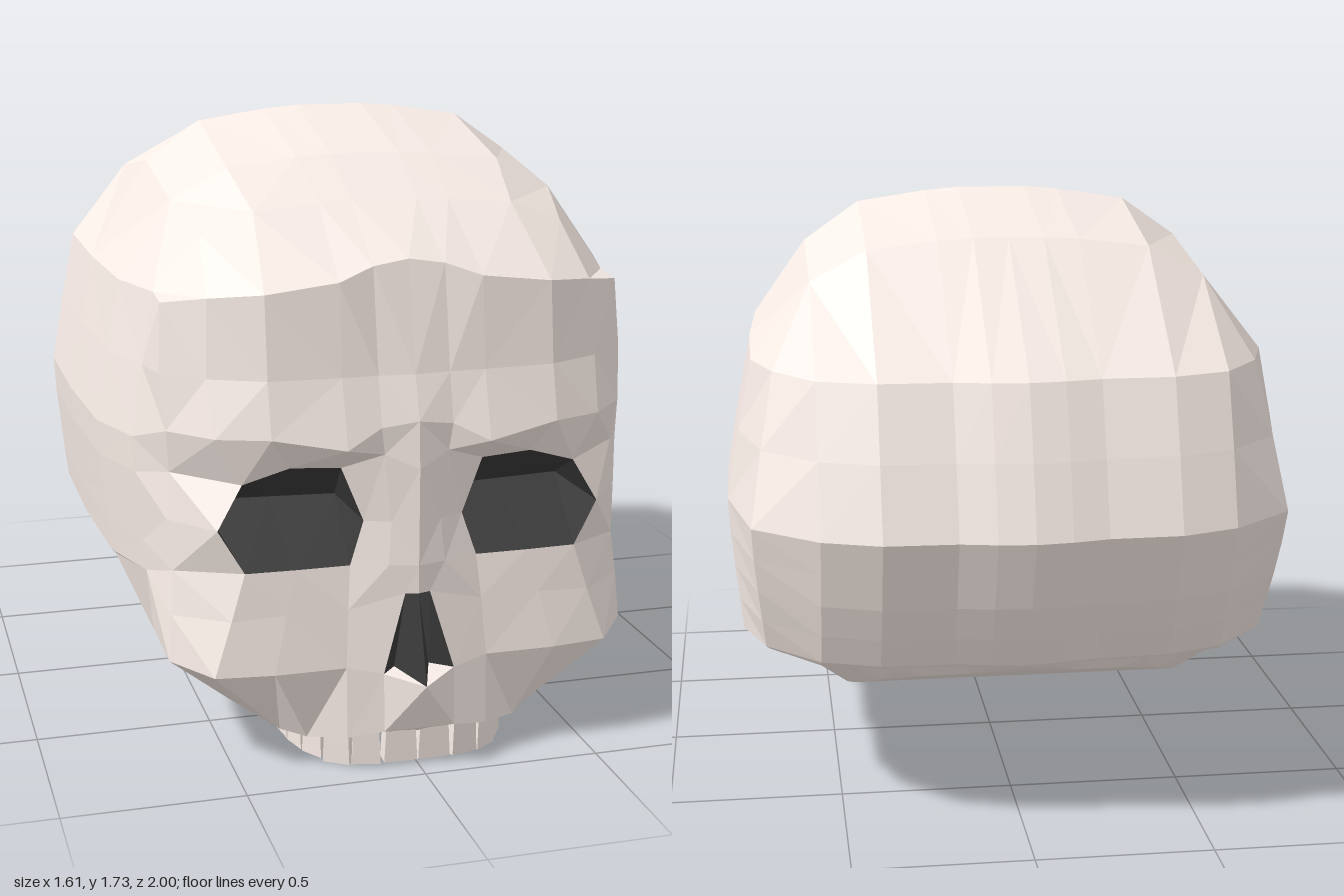
import * as THREE from 'three';

const BONE = 0xf8ece6, DARK = 0x3a3a3a;

// Half of the face, centre line to temple, [x, y, z] per point, rows going down
const FOREHEAD = [
  [[0, 1.4, 0.8], [0.1, 1.385, 0.805], [0.2, 1.35, 0.83], [0.4, 1.325, 0.82], [0.54, 1.31, 0.75], [0.65, 1.29, 0.67]],
  [[0, 1.1, 0.87], [0.1, 1.1, 0.86], [0.2, 1.1, 0.86], [0.4, 1.1, 0.85], [0.55, 1.1, 0.78], [0.66, 1.1, 0.69]],
  [[0, 0.98, 0.91], [0.1, 0.965, 0.895], [0.2, 0.915, 0.92], [0.4, 0.95, 0.89], [0.54, 0.95, 0.84], [0.65, 0.95, 0.72]],
];
const FACE = [
  [[0, 0.85, 0.92], [0.09, 0.89, 0.89], [0.2, 0.85, 0.85], [0.34, 0.86, 0.85], [0.47, 0.82, 0.84], [0.64, 0.83, 0.7]],
  [[0, 0.7, 0.92], [0.07, 0.7, 0.89], [0.14, 0.7, 0.86], [0.34, 0.7, 0.58], [0.54, 0.7, 0.85], [0.65, 0.7, 0.71]],
  [[0, 0.58, 0.92], [0.08, 0.58, 0.9], [0.18, 0.58, 0.87], [0.33, 0.58, 0.87], [0.47, 0.58, 0.865], [0.64, 0.56, 0.73]],
  [[0, 0.5, 0.92], [0.035, 0.5, 0.91], [0.19, 0.46, 0.89], [0.36, 0.46, 0.885], [0.51, 0.45, 0.875], [0.65, 0.44, 0.75]],
  [[0, 0.26, 1], [0.1, 0.28, 0.93], [0.2, 0.3, 0.91], [0.4, 0.3, 0.91], [0.56, 0.3, 0.89], [0.66, 0.31, 0.76]],
  [[0, 0.12, 0.95], [0.1, 0.115, 0.94], [0.2, 0.1, 0.92], [0.3, 0.09, 0.86], [0.36, 0.09, 0.79], [0.48, 0.15, 0.69]],
];

// Side and back of each row: height, half width and rearmost z
const SIDE_Y = [1.3, 1.1, 0.9, 0.8, 0.7, 0.6, 0.51, 0.5];
const SIDE_X = [0.73, 0.77, 0.805, 0.8, 0.79, 0.78, 0.77, 0.76];
const BACK_Z = [-0.85, -0.93, -1, -0.965, -0.93, -0.885, -0.84, -0.83];
const BACK_COLUMNS = [[0.56, 0.09], [0.4, 0.035], [0.2, 0.03], [0.1, 0.01], [0, 0]];

function sideAndBack(r) {
  const x = SIDE_X[r], y = SIDE_Y[r], z = BACK_Z[r];
  const cheekEnd = r === 7 ? [0.655, 0.3, 0.48] : [x * 0.89, y, 0.57];
  return [
    cheekEnd, [x * 0.975, y, 0.37], [x, y, -0.02], [x, y, -0.43], [x * 0.92, y, z + 0.24],
    ...BACK_COLUMNS.map(([bx, dz]) => [bx, y, z + dz]),
  ];
}

// Sloping skull base: 0 under the palate, rising to 1 at the back
const baseRise = z => THREE.MathUtils.clamp((0.3 - z) / 1.14, 0, 1);
const baseY = t => 0.1 + 0.35 * t + 0.05 * t ** 8;

// Half rings from forehead to skull base
function skullRows() {
  const face = [...FOREHEAD, ...FACE];
  const rows = SIDE_Y.map((_, r) => [...face[r], ...sideAndBack(r)]);
  const lowerEdge = [
    ...face[8], [0.57, 0.24, 0.42], [0.62, 0.3, 0.3], [0.62, 0.29, -0.02], [0.61, 0.43, -0.42], [0.56, 0.455, -0.62],
    ...BACK_COLUMNS.map(([x, dz]) => [x * 0.85, 0.485, -0.79 + dz]),
  ];
  const base = lowerEdge.map(([x, , z]) => {
    const t = baseRise(z);
    return [x * (0.62 + 0.25 * t), baseY(t), z * 0.97];
  });
  const middle = base.map(([, y, z]) => [0, y, z]);
  return [...rows, lowerEdge, base, middle];
}

// Crown grid, back to front, sharing its rim with the first ring
function crownRows(ring) {
  const rows = [ring.slice(10).reverse()];
  const columns = [[0, 0], [0.1, 0], [0.2, 0.02], [0.4, 0.09], [0.56, 0.35]];
  for (const [i, top] of [[9, 1.63], [8, 1.73], [7, 1.63], [6, 1.525]]) {
    const [sx, sy, z] = ring[i];
    rows.push([...columns.map(([x, drop]) => [x * Math.min(1, sx / 0.7), top - drop * (top - sy), z]), ring[i]]);
  }
  rows.push(ring.slice(0, 6));
  return rows;
}

// Wedge-shaped socket from the eye rim back to a level line
function socketRows(rows) {
  const inner = rows[4][2], outer = rows[4][4];
  const deep = [[0.15, 0.7, 0.6], [0.34, 0.7, 0.58], [0.53, 0.7, 0.56]];
  return [rows[3].slice(2, 5), deep, rows[5].slice(2, 5)].map(row => [inner, ...row, outer]);
}

// Nose opening: a septum in the middle with a recess beside it
function noseRows(rows) {
  return [
    [rows[6][0], [0.017, 0.5, 0.85], rows[6][1]],
    [rows[7][0], [0.05, 0.27, 0.86], rows[7][1]],
  ];
}

const distance = (a, b) => Math.hypot(a[0] - b[0], a[1] - b[1], a[2] - b[2]);

// Both mirrored halves of a grid, keeping only the cells that pass the test
function gridMesh(name, rows, color, keep = () => true) {
  const positions = [];
  const flip = ([x, y, z]) => [-x, y, z];
  const triangle = (a, b, c) => positions.push(...a, ...b, ...c, ...flip(a), ...flip(c), ...flip(b));
  for (let r = 0; r < rows.length - 1; r++) {
    for (let c = 0; c < rows[r].length - 1; c++) {
      if (!keep(r, c)) continue;
      const [p, q, s, t] = [rows[r][c], rows[r + 1][c], rows[r + 1][c + 1], rows[r][c + 1]];
      // split along the shorter diagonal
      if (distance(p, s) <= distance(q, t)) {
        triangle(p, q, s);
        triangle(p, s, t);
      } else {
        triangle(p, q, t);
        triangle(q, s, t);
      }
    }
  }
  const geometry = new THREE.BufferGeometry();
  geometry.setAttribute('position', new THREE.Float32BufferAttribute(positions, 3));
  geometry.computeVertexNormals();
  const material = new THREE.MeshStandardMaterial({ color, flatShading: true, side: THREE.DoubleSide });
  const mesh = new THREE.Mesh(geometry, material);
  mesh.name = name;
  return mesh;
}

// Upper teeth along the dental arch: x, z, turn, width, lower end
function makeTeeth() {
  const teeth = new THREE.Group();
  teeth.name = 'teeth';
  const material = new THREE.MeshStandardMaterial({ color: BONE, flatShading: true });
  const arch = [
    [0.047, 0.9, 0.05, 0.094, 0.015], [0.137, 0.885, 0.25, 0.08, 0.01], [0.205, 0.85, 0.6, 0.078, 0.005],
    [0.252, 0.795, 1, 0.072, 0.01], [0.28, 0.725, 1.3, 0.078, 0.01], [0.295, 0.635, 1.45, 0.098, 0.01], [0.3, 0.53, 1.5, 0.1, 0.02],
  ];
  for (const side of [1, -1]) {
    for (const [x, z, turn, width, low] of arch) {
      const geometry = new THREE.BoxGeometry(width, 0.12 - low, 0.05);
      const p = geometry.attributes.position;
      // narrow each tooth towards the gum
      for (let i = 0; i < p.count; i++) if (p.getY(i) > 0) p.setX(i, p.getX(i) * 0.88);
      const tooth = new THREE.Mesh(geometry, material);
      tooth.name = 'tooth';
      tooth.position.set(side * x, (0.12 + low) / 2, z);
      tooth.rotation.y = side * turn;
      teeth.add(tooth);
    }
  }
  return teeth;
}

export function createModel() {
  const model = new THREE.Group();
  model.name = 'skull';
  const rows = skullRows();
  const isEye = (r, c) => (r === 3 || r === 4) && (c === 2 || c === 3);
  const isNose = (r, c) => r === 6 && c === 0;
  model.add(
    gridMesh('skullWall', rows, BONE, (r, c) => !isEye(r, c) && !isNose(r, c)),
    gridMesh('eyeSockets', socketRows(rows), DARK),
    gridMesh('noseOpening', noseRows(rows), DARK),
    gridMesh('crown', crownRows(rows[0]), BONE),
    makeTeeth(),
  );
  return model;
}
